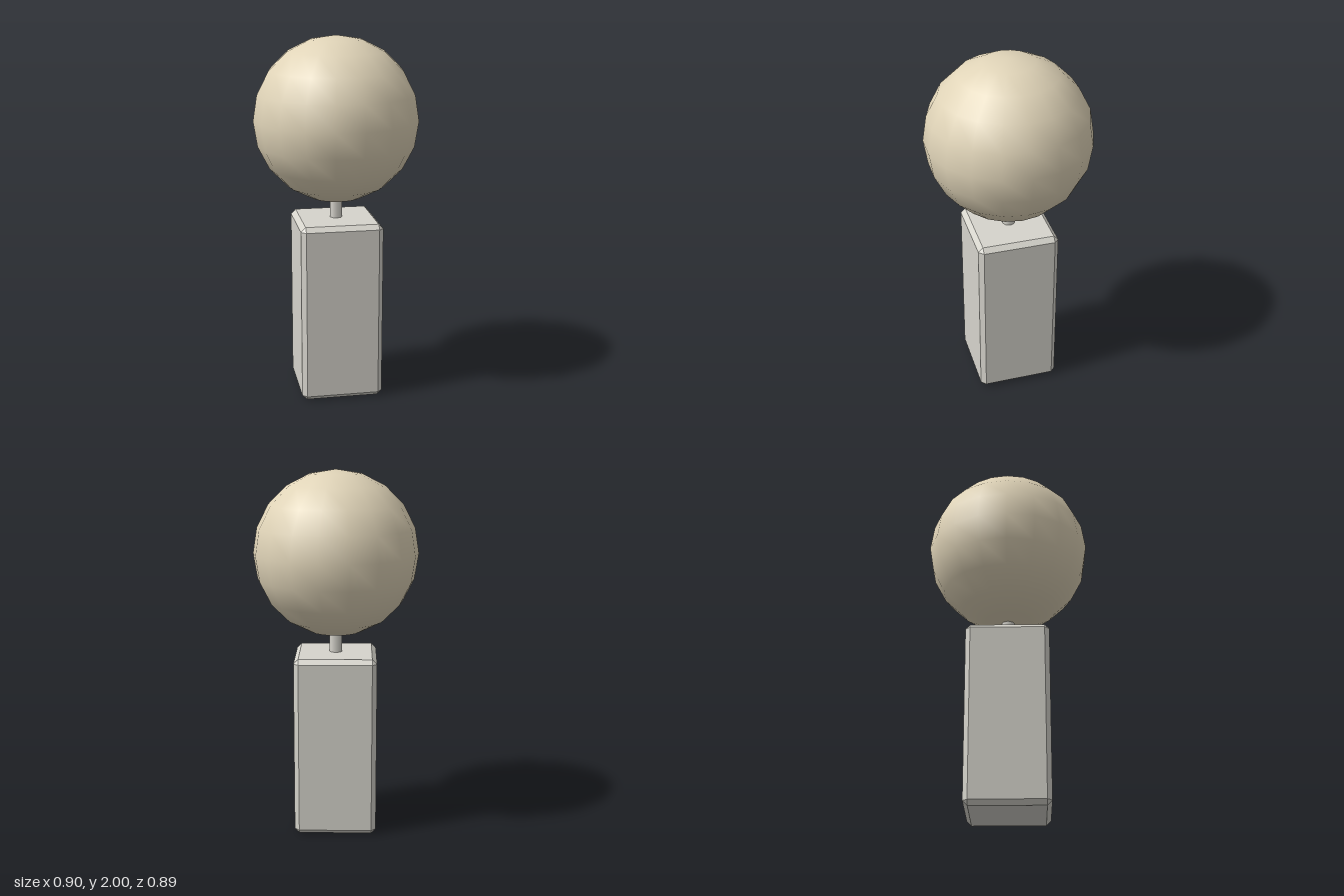
import * as THREE from 'three';
import { ConvexGeometry } from 'three/addons/geometries/ConvexGeometry.js';

// Box with flat chamfered edges and triangular corners, centred on the origin
function chamferedBox(width, height, depth, bevel) {
  const [x, y, z] = [width / 2, height / 2, depth / 2];
  const points = [];
  for (const sx of [-1, 1]) for (const sy of [-1, 1]) for (const sz of [-1, 1]) {
    points.push(
      new THREE.Vector3(sx * x, sy * (y - bevel), sz * (z - bevel)),
      new THREE.Vector3(sx * (x - bevel), sy * y, sz * (z - bevel)),
      new THREE.Vector3(sx * (x - bevel), sy * (y - bevel), sz * z),
    );
  }
  return new ConvexGeometry(points);
}

export function createModel() {
  const model = new THREE.Group();
  const stone = new THREE.MeshStandardMaterial({ color: 0xd6d4cc });
  stone.name = 'paleStone';
  const cream = new THREE.MeshStandardMaterial({ color: 0xe0d4b8 });
  cream.name = 'creamGlobe';

  const add = (name, geometry, material, y) => {
    const mesh = new THREE.Mesh(geometry, material);
    mesh.name = name;
    mesh.position.y = y;
    model.add(mesh);
  };

  // Square pillar
  add('pillar', chamferedBox(0.452, 1, 0.452, 0.026), stone, 0.5);

  // Short stem, sunk a little into both neighbours
  add('stem', new THREE.CylinderGeometry(0.035, 0.035, 0.16, 8), stone, 1.06);

  // Round globe
  add('globe', new THREE.SphereGeometry(0.452, 18, 10), cream, 1.548);

  return model;
}
